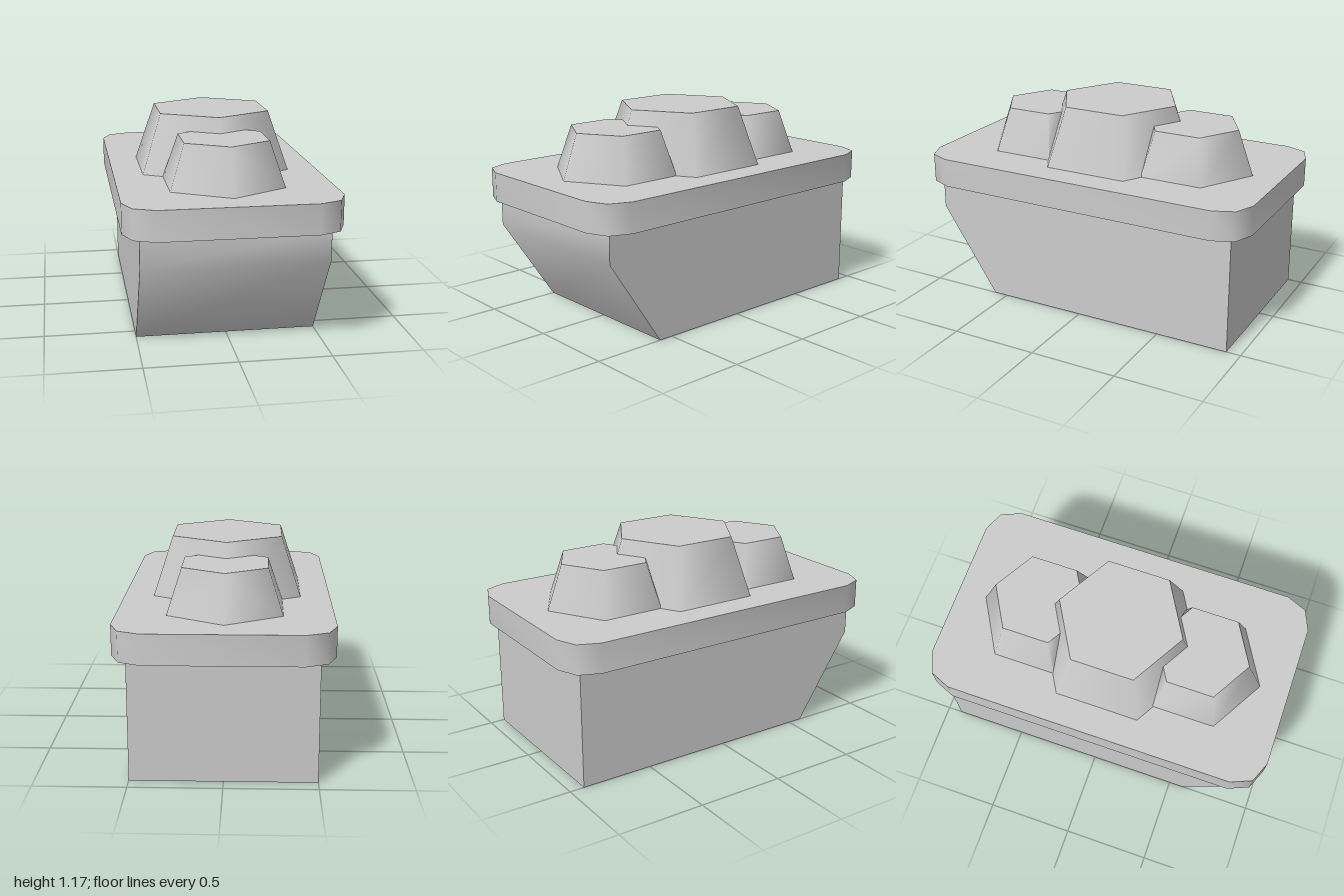
import * as THREE from 'three';
import { toCreasedNormals } from 'three/addons/utils/BufferGeometryUtils.js';
import { ConvexGeometry } from 'three/addons/geometries/ConvexGeometry.js';

const material = new THREE.MeshStandardMaterial({ color: 0xcccccc });
const BODY_TOP = 0.667, PLATE_TOP = 0.833;

function addPart(group, name, geometry) {
  const mesh = new THREE.Mesh(geometry, material);
  mesh.name = name;
  group.add(mesh);
  return mesh;
}

// Straight prism of an outline, centred along its depth, with creased normals
function prism(points, depth, crease) {
  const shape = new THREE.Shape(points.map(([x, y]) => new THREE.Vector2(x, y)));
  const geometry = new THREE.ExtrudeGeometry(shape, { depth, bevelEnabled: false });
  geometry.translate(0, 0, -depth / 2);
  return toCreasedNormals(geometry, crease);
}

// Tapered hexagonal knob whose inner point is cut off by an upright plane
function cutKnob(centerZ, baseRadius, topRadius, y0, y1) {
  const cut = -baseRadius / 2;
  const points = [];
  for (const [r, y] of [[baseRadius, y0], [topRadius, y1]]) {
    points.push(new THREE.Vector3(0, y, centerZ + r));
    for (const side of [-1, 1]) {
      const x = side * r * Math.sqrt(3) / 2;
      points.push(new THREE.Vector3(x, y, centerZ + r / 2));
      points.push(new THREE.Vector3(x, y, centerZ - r / 2));
      if (r < baseRadius) {
        points.push(new THREE.Vector3(side * (r + cut) * Math.sqrt(3), y, centerZ + cut));
      }
    }
  }
  return toCreasedNormals(new ConvexGeometry(points), 1.03);
}

export function createModel() {
  const group = new THREE.Group();
  group.name = 'plug';

  // Body: side profile in (z, y) with a slanted lower front
  const body = prism([
    [-0.917, 0], [0.583, 0], [0.917, 0.5], [0.917, BODY_TOP], [-0.917, BODY_TOP],
  ], 1, 0.7);
  body.rotateY(-Math.PI / 2);
  addPart(group, 'body', body);

  // Flange plate with two-step rounded corners
  const corner = [[0.583, 0.833], [0.534, 0.951], [0.417, 1]];
  const flipped = [...corner].reverse();
  const outline = [
    ...corner,
    ...flipped.map(([x, z]) => [-x, z]),
    ...corner.map(([x, z]) => [-x, -z]),
    ...flipped.map(([x, z]) => [x, -z]),
  ];
  const plate = prism(outline, PLATE_TOP - BODY_TOP, 0.87);
  plate.rotateX(Math.PI / 2);
  plate.translate(0, (PLATE_TOP + BODY_TOP) / 2, 0);
  addPart(group, 'flangePlate', plate);

  // Tall middle knob
  const middle = new THREE.CylinderGeometry(0.356, 0.481, 0.334, 6);
  middle.translate(0, PLATE_TOP + 0.167, 0);
  addPart(group, 'middleKnob', middle);

  // Lower knobs in front and behind
  const endKnob = cutKnob(0.475, 0.359, 0.266, PLATE_TOP, 1.083);
  addPart(group, 'frontKnob', endKnob);
  addPart(group, 'backKnob', endKnob).rotation.y = Math.PI;

  return group;
}
